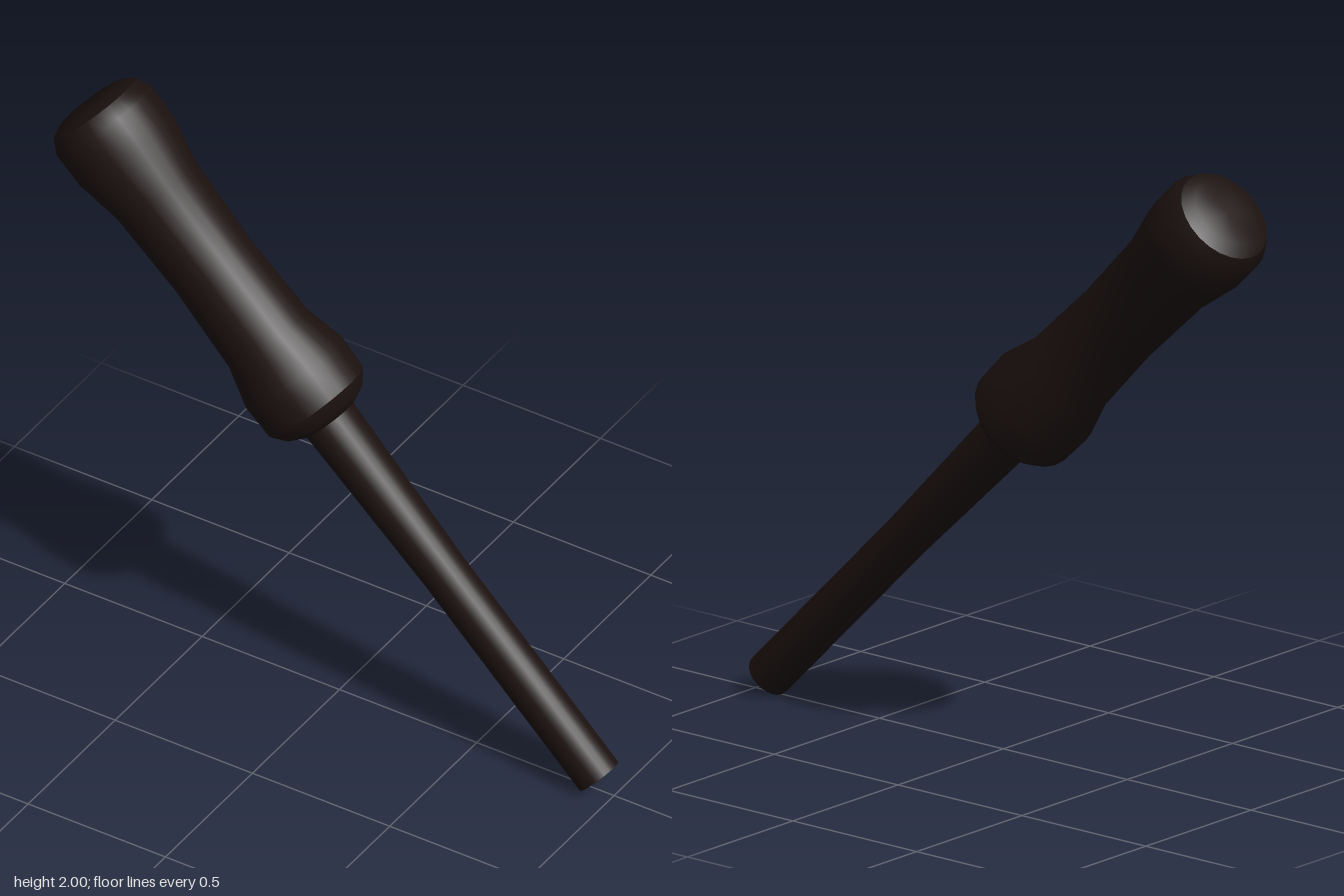
import * as THREE from 'three';
import { toCreasedNormals } from 'three/addons/utils/BufferGeometryUtils.js';

// Turns a list of [radius, distance along the axis] into a round part
function turned(name, profile, material) {
  const points = profile.map(([r, s]) => new THREE.Vector2(r, s));
  const geometry = toCreasedNormals(new THREE.LatheGeometry(points, 24), 0.6);
  const mesh = new THREE.Mesh(geometry, material);
  mesh.name = name;
  return mesh;
}

export function createModel() {
  const group = new THREE.Group();
  group.name = 'handledTool';
  const dark = new THREE.MeshStandardMaterial({ color: 0x1c1210 });

  // Straight rod that widens toward the handle
  const shaft = turned('shaft', [
    [0, 0], [0.074, 0], [0.074, 0.79], [0.09, 1.4], [0, 1.42],
  ], dark);

  // Waisted grip with a chamfered collar and a rounded, flat-ended butt
  const handle = turned('handle', [
    [0, 1.39], [0.1, 1.39], [0.147, 1.415], [0.18, 1.455], [0.184, 1.57],
    [0.15, 1.705], [0.14, 1.99], [0.15, 2.277], [0.18, 2.433],
    [0.181, 2.55], [0.157, 2.597], [0.118, 2.617], [0, 2.617],
  ], dark);

  // Tip rests on the ground, handle leans up toward -x
  const tool = new THREE.Group();
  tool.name = 'tool';
  tool.add(shaft, handle);
  tool.rotation.z = Math.PI / 4;
  tool.position.set(0.945, 0.053, 0);
  group.add(tool);
  return group;
}
